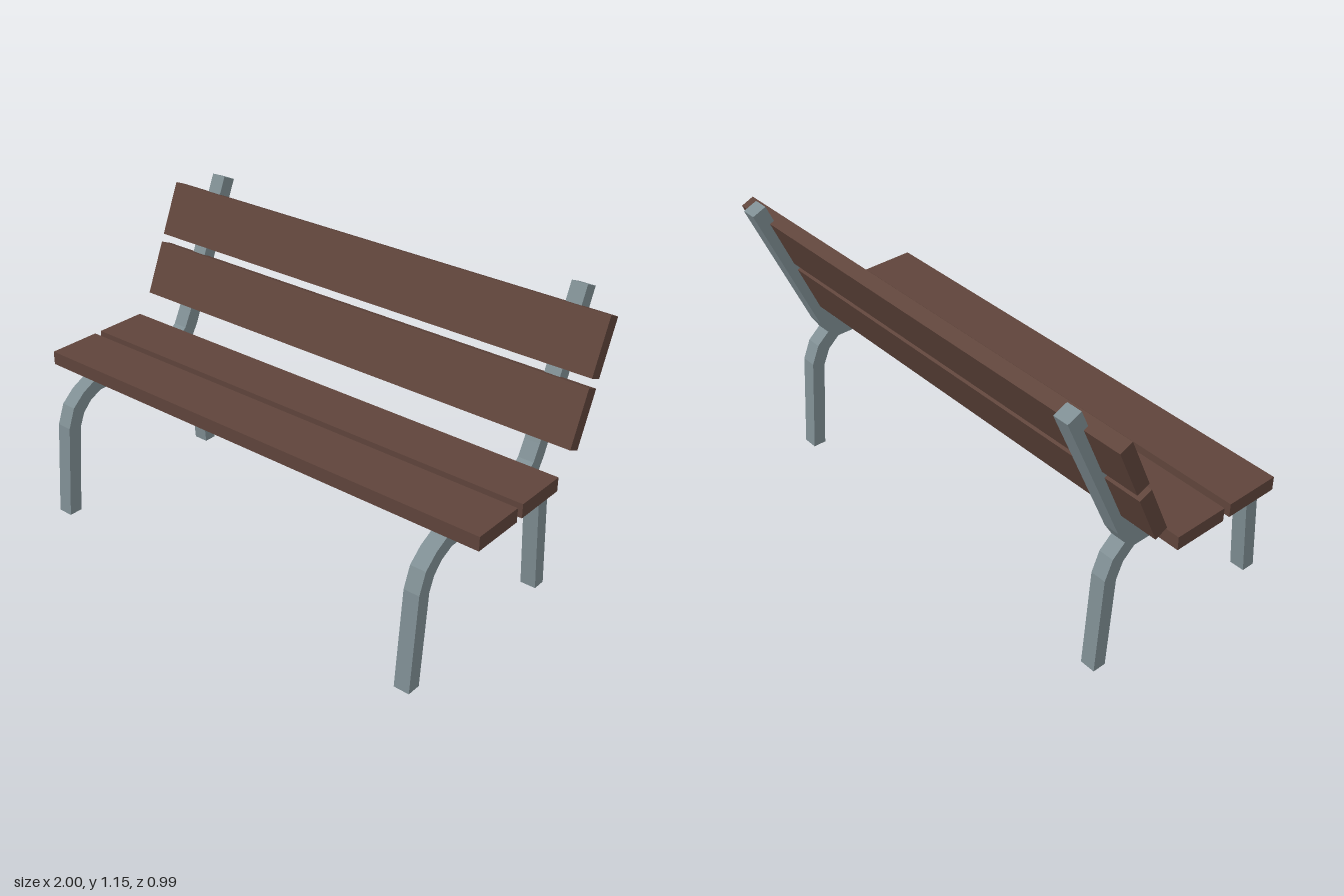
import * as THREE from 'three';

const WIDTH = 0.062; // thickness of the square tube frame

// Extrudes a side outline, given as [z, y] pairs, symmetrically across x = 0
function sideProfile(points) {
  const shape = new THREE.Shape(points.map(([z, y]) => new THREE.Vector2(z, y)));
  const geometry = new THREE.ExtrudeGeometry(shape, { depth: WIDTH, bevelEnabled: false });
  return geometry.translate(0, 0, -WIDTH / 2).rotateY(-Math.PI / 2);
}

export function createModel() {
  const bench = new THREE.Group();
  bench.name = 'bench';
  const wood = new THREE.MeshStandardMaterial({ color: 0x5f443b, flatShading: true });
  wood.name = 'brown wood';
  const metal = new THREE.MeshStandardMaterial({ color: 0x7f8e93, flatShading: true });
  metal.name = 'grey metal';

  // Front leg, seat rail and backrest post bent from one tube
  const mainTube = sideProfile([
    [0.493, 0], [0.46, 0.375], [0.43, 0.453], [0.376, 0.5], [0.322, 0.527],
    [-0.13, 0.53], [-0.183, 0.575], [-0.214, 0.635], [-0.437, 1.15], [-0.492, 1.127],
    [-0.25, 0.572], [-0.216, 0.517], [-0.17, 0.481],
    [0.29, 0.48], [0.343, 0.455], [0.382, 0.415], [0.405, 0.36], [0.438, 0],
  ]);
  // Rear leg branching off below the backrest
  const rearTube = sideProfile([
    [-0.17, 0.481], [-0.216, 0.517], [-0.268, 0.472], [-0.3, 0.396],
    [-0.33, 0], [-0.277, 0], [-0.247, 0.374], [-0.219, 0.438],
  ]);
  for (const [side, x] of [['right', -0.818], ['left', 0.841]]) {
    const frame = new THREE.Group();
    frame.name = `${side}Frame`;
    frame.position.x = x;
    const main = new THREE.Mesh(mainTube, metal);
    main.name = 'frontLegAndBackPost';
    const rear = new THREE.Mesh(rearTube, metal);
    rear.name = 'rearLeg';
    frame.add(main, rear);
    bench.add(frame);
  }

  // Seat and backrest planks: name, y, z, tilt
  const plank = new THREE.BoxGeometry(2, 0.054, 0.217);
  const lean = Math.PI / 2 - 0.405;
  for (const [name, y, z, tilt] of [
    ['frontSeatPlank', 0.564, 0.224, 0],
    ['rearSeatPlank', 0.564, -0.023, 0],
    ['lowerBackPlank', 0.756, -0.26, lean],
    ['upperBackPlank', 0.986, -0.358, lean],
  ]) {
    const mesh = new THREE.Mesh(plank, wood);
    mesh.name = name;
    mesh.position.set(0, y, z);
    mesh.rotation.x = tilt;
    bench.add(mesh);
  }
  return bench;
}
